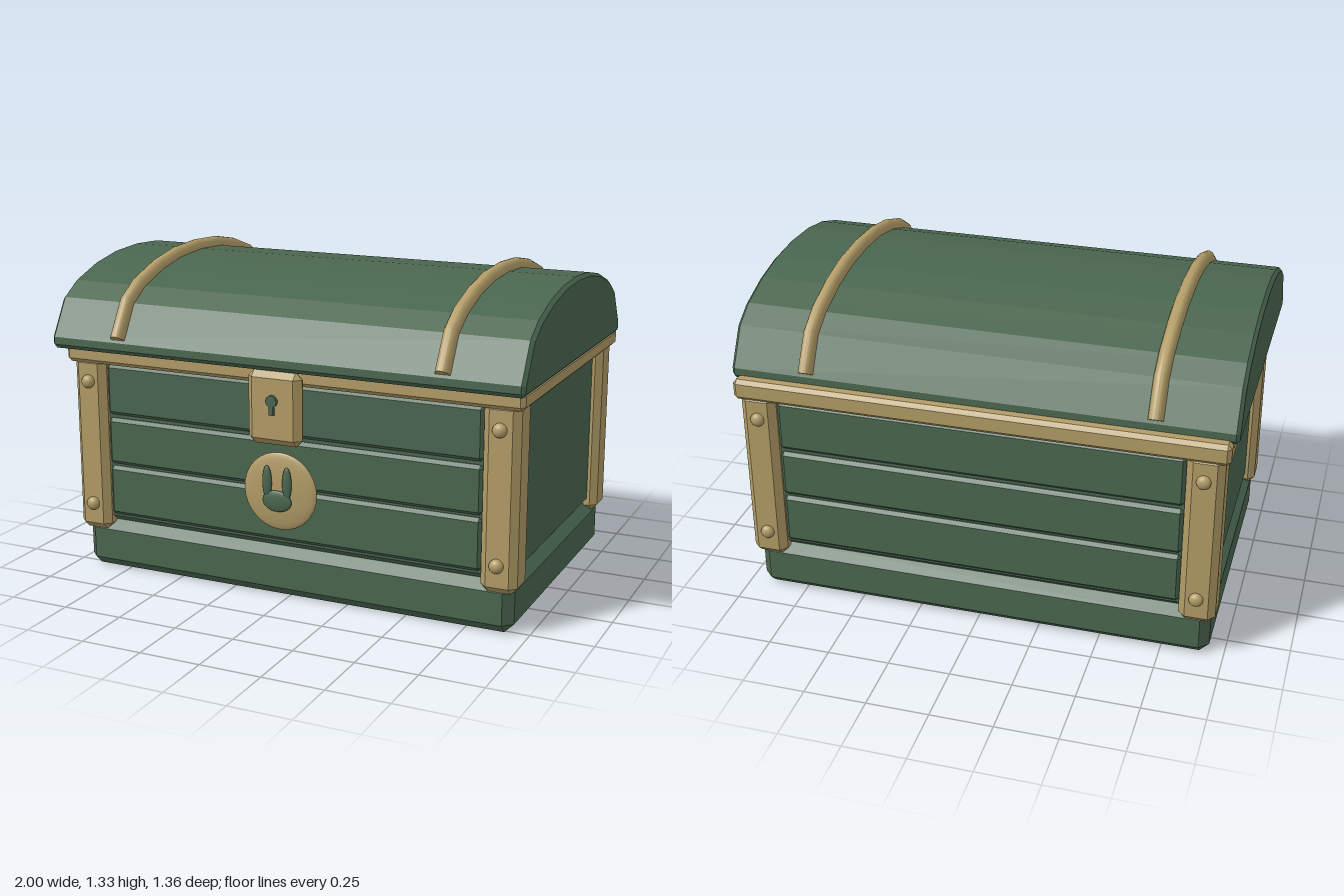
import * as THREE from 'three';
import { toCreasedNormals } from 'three/addons/utils/BufferGeometryUtils.js';
import { ConvexGeometry } from 'three/addons/geometries/ConvexGeometry.js';

const green = new THREE.MeshStandardMaterial({ color: 0x4a664f });
green.name = 'greenWood';
const brass = new THREE.MeshStandardMaterial({ color: 0xb29c67 });
brass.name = 'brass';

// Box between two corners with every edge cut by c
function chamferBox([x0, y0, z0], [x1, y1, z1], c) {
  const half = [(x1 - x0) / 2, (y1 - y0) / 2, (z1 - z0) / 2];
  const points = [];
  for (const sx of [-1, 1]) for (const sy of [-1, 1]) for (const sz of [-1, 1]) {
    for (let axis = 0; axis < 3; axis++) {
      const [x, y, z] = half.map((h, i) => (i === axis ? h : h - c));
      points.push(new THREE.Vector3(sx * x, sy * y, sz * z));
    }
  }
  return new ConvexGeometry(points).translate((x0 + x1) / 2, (y0 + y1) / 2, (z0 + z1) / 2);
}

// Flattened sphere
function dome(x, y, z, rx, ry, rz) {
  return new THREE.SphereGeometry(1, 32, 16).scale(rx, ry, rz).translate(x, y, z);
}

// Lid arch as [z offset, y], front edge to crown, then mirrored to the back
const LID_Z = 0.02;
const halfArch = [[0.635, 1.0], [0.548, 1.148], [0.46, 1.204], [0.315, 1.253], [0.165, 1.281]];
const arch = [...halfArch, [0, 1.29], ...halfArch.map(([z, y]) => [-z, y]).reverse()];

function lidGeometry() {
  const bevel = 0.014;
  const outline = [[0.62, 0.953], [0.636, 0.97], ...arch, [-0.636, 0.97], [-0.62, 0.953]];
  const shape = new THREE.Shape(outline.map(([z, y]) => new THREE.Vector2(-z, y)));
  return new THREE.ExtrudeGeometry(shape, {
    depth: 2 - 2 * bevel, bevelEnabled: true, bevelSegments: 1,
    bevelSize: bevel, bevelThickness: bevel, bevelOffset: -bevel,
  }).translate(0, 0, -(1 - bevel)).rotateY(Math.PI / 2).translate(0, 0, LID_Z);
}

// Half-round strap swept over the arch with mitred joints
function strapGeometry() {
  const path = [[0.63, 1.012], ...arch.slice(1, -1), [-0.63, 1.012]].map(([z, y]) => new THREE.Vector2(z, y));
  const sides = 10, row = sides + 1, pos = [], index = [];
  const normal = (a, b) => new THREE.Vector2(b.y - a.y, a.x - b.x).normalize();
  path.forEach((p, i) => {
    const before = normal(path[Math.max(i - 1, 0)], path[Math.max(i, 1)]);
    const after = normal(path[Math.min(i, path.length - 2)], path[Math.min(i + 1, path.length - 1)]);
    const n = before.clone().add(after).normalize();
    n.divideScalar(n.dot(before));
    for (let j = 0; j <= sides; j++) {
      const a = Math.PI * j / sides, h = 0.042 * Math.sin(a) - 0.004;
      pos.push(0.03 * Math.cos(a), p.y + n.y * h, p.x + n.x * h + LID_Z);
    }
  });
  const last = (path.length - 1) * row;
  for (let i = 0; i < path.length - 1; i++) for (let j = 0; j < sides; j++) {
    const a = i * row + j, b = a + row;
    index.push(a, b, a + 1, b, b + 1, a + 1);
  }
  for (let j = 1; j < sides; j++) index.push(0, j, j + 1, last, last + j + 1, last + j);
  const geometry = new THREE.BufferGeometry();
  geometry.setAttribute('position', new THREE.Float32BufferAttribute(pos, 3));
  geometry.setIndex(index);
  return toCreasedNormals(geometry, 0.6);
}

// Keyhole: round top with a flared slot
function keyholeGeometry() {
  const shape = new THREE.Shape();
  shape.moveTo(-0.009, 0.785);
  shape.lineTo(0.009, 0.785);
  shape.lineTo(0.009, 0.82);
  shape.absarc(0, 0.84, 0.023, -1.17, Math.PI + 1.17, false);
  shape.closePath();
  return new THREE.ExtrudeGeometry(shape, { depth: 0.016, bevelEnabled: false, curveSegments: 20 })
    .translate(0, 0, 0.654);
}

export function createModel() {
  const group = new THREE.Group();
  const add = (name, geometry, material) => {
    const mesh = new THREE.Mesh(geometry, material);
    mesh.name = name;
    group.add(mesh);
    return mesh;
  };

  // Plinth and body
  add('base', chamferBox([-0.94, 0, -0.63], [0.94, 0.206, 0.55], 0.038), green);
  add('body', chamferBox([-0.92, 0.204, -0.615], [0.92, 0.92, 0.535], 0.025), green);

  // Raised planks on front and back
  for (const [y0, y1] of [[0.24, 0.45], [0.46, 0.655], [0.67, 0.882]]) {
    add('frontPlank', chamferBox([-0.815, y0, 0.51], [0.815, y1, 0.553], 0.014), green);
    add('backPlank', chamferBox([-0.815, y0, -0.633], [0.815, y1, -0.59], 0.014), green);
  }

  // Corner posts with rivets
  for (const s of [-1, 1]) {
    const x0 = s > 0 ? 0.815 : -0.96, x1 = s > 0 ? 0.96 : -0.815;
    add('frontPost', chamferBox([x0, 0.17, 0.43], [x1, 0.91, 0.575], 0.027), brass);
    add('backPost', chamferBox([x0, 0.17, -0.655], [x1, 0.91, -0.51], 0.027), brass);
    for (const y of [0.285, 0.808]) {
      add('frontRivet', dome(s * 0.885, y, 0.58, 0.028, 0.028, 0.023), brass);
      add('backRivet', dome(s * 0.885, y, -0.66, 0.028, 0.028, 0.021), brass);
    }
  }

  // Rim around the body and the taller hinge rail behind the lid
  add('rim', chamferBox([-0.98, 0.886, -0.66], [0.98, 0.958, 0.59], 0.016), brass);
  add('hingeRail', chamferBox([-0.98, 0.886, -0.665], [0.98, 0.972, -0.597], 0.016), brass);

  // Domed lid with two straps
  add('lid', lidGeometry(), green);
  for (const s of [-1, 1]) add('lidStrap', strapGeometry(), brass).position.x = s * 0.688;

  // Lock
  add('lockPlate', chamferBox([-0.115, 0.66, 0.598], [0.115, 0.954, 0.657], 0.027), brass);
  add('keyhole', keyholeGeometry(), green);

  // Round medallion with a raised animal face
  add('medallion', dome(0, 0.462, 0.596, 0.158, 0.158, 0.022), brass);
  for (const s of [-1, 1]) add('medallionEar', dome(s * 0.043, 0.504, 0.625, 0.02, 0.067, 0.011), green);
  add('medallionFace', dome(0, 0.43, 0.626, 0.063, 0.043, 0.011), green);

  return group;
}
